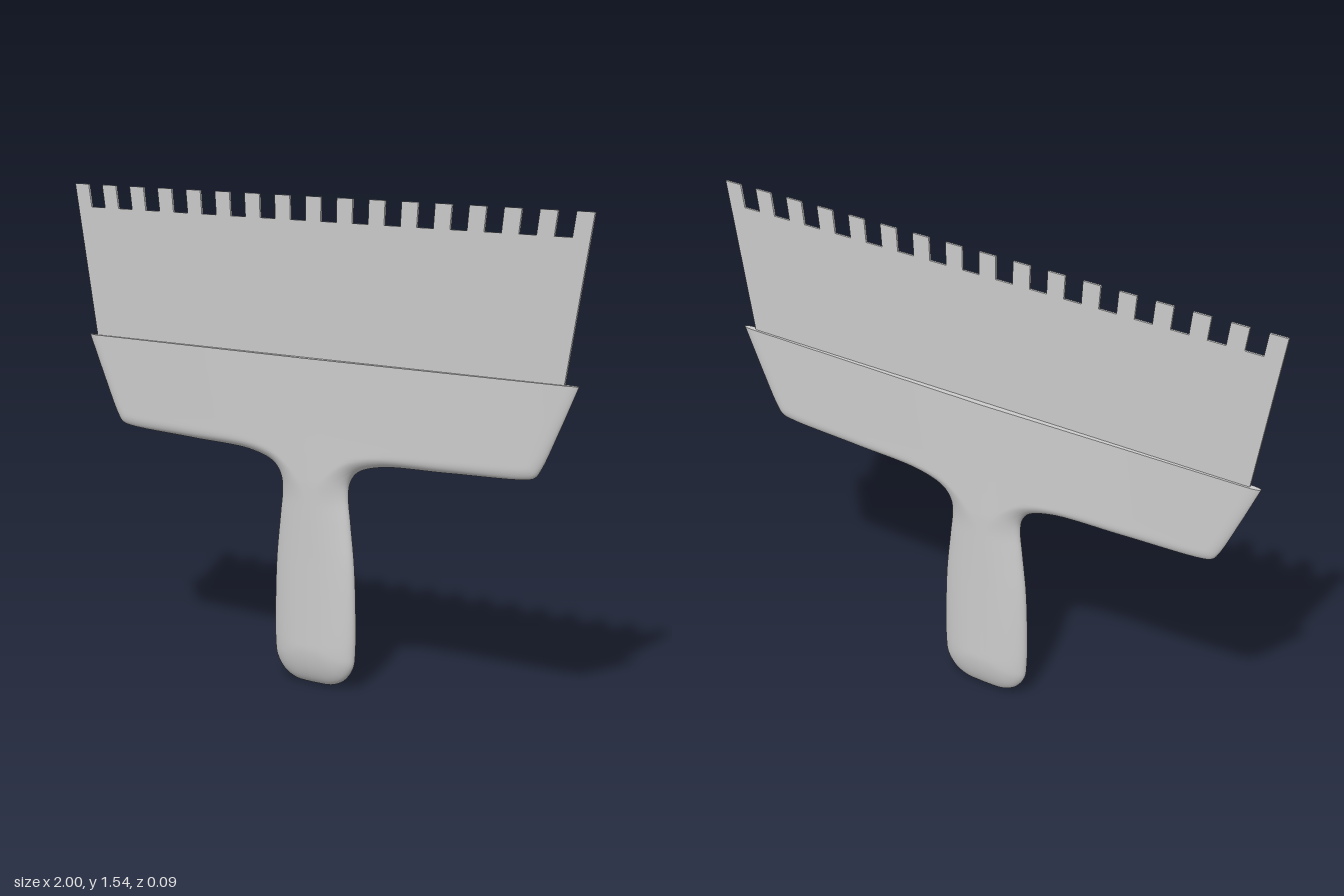
import * as THREE from 'three';

const material = new THREE.MeshStandardMaterial({ color: 0xcccccc });
const { lerp, smoothstep, clamp } = THREE.MathUtils;

// Right half of the grip-and-head silhouette, from the butt up to the head's top corner
const OUTLINE = [
  [0, 0], [0.07, 0.004], [0.115, 0.025], [0.148, 0.07], [0.155, 0.12], [0.156, 0.25],
  [0.15, 0.4], [0.136, 0.53], [0.127, 0.62], [0.133, 0.66], [0.16, 0.695], [0.25, 0.724],
  [0.5, 0.736], [0.77, 0.748], [0.808, 0.757], [0.83, 0.785], [0.89, 0.906], [0.952, 1.04],
];
// Half thickness on the centre line as [y, depth]
const DEPTH = [[0, 0.044], [0.12, 0.047], [0.4, 0.041], [0.65, 0.037], [0.8, 0.031], [1.04, 0.023]];

function depthAt(y) {
  for (let i = 1; i < DEPTH.length; i++) {
    const [y0, d0] = DEPTH[i - 1], [y1, d1] = DEPTH[i];
    if (y <= y1) return lerp(d0, d1, clamp((y - y0) / (y1 - y0), 0, 1));
  }
  return DEPTH[DEPTH.length - 1][1];
}

// Shortest distance from a point to the silhouette
function edgeDistance(x, y, edge) {
  let best = Infinity;
  for (let i = 1; i < edge.length; i++) {
    const a = edge[i - 1], b = edge[i];
    const dx = b.x - a.x, dy = b.y - a.y;
    const t = clamp(((x - a.x) * dx + (y - a.y) * dy) / (dx * dx + dy * dy), 0, 1);
    best = Math.min(best, Math.hypot(x - a.x - t * dx, y - a.y - t * dy));
  }
  return best;
}

// Grip and head in one smooth body: rows up the silhouette, thickness rounded off at its edge
function bodyGeometry() {
  const curve = new THREE.CatmullRomCurve3(OUTLINE.map(([x, y]) => new THREE.Vector3(x, y, 0)));
  curve.arcLengthDivisions = 800;
  const edge = curve.getSpacedPoints(160);
  const columns = 72, ring = columns * 2;
  const positions = [], index = [];

  edge.forEach(({ x: w, y }) => {
    const radius = lerp(0.12, 0.035, smoothstep(y, 0.58, 0.76));
    for (let i = 0; i < ring; i++) {
      const angle = (i / ring) * Math.PI * 2;
      const x = w * Math.cos(angle);
      const rim = i % columns === 0;
      const t = rim ? 0 : Math.min(edgeDistance(Math.abs(x), y, edge) / radius, 1);
      const round = Math.sqrt(1 - (1 - t) ** 2);
      const z = depthAt(y) * (1 - 0.6 * Math.abs(x)) * round;
      positions.push(x, y, i < columns ? z : -z);
    }
  });
  for (let r = 0; r < edge.length - 1; r++) {
    for (let i = 0; i < ring; i++) {
      const a = r * ring + i, b = r * ring + ((i + 1) % ring);
      index.push(a, a + ring, b, b, a + ring, b + ring);
    }
  }
  // Flat top with its own vertices, for a sharp edge
  const topRow = (edge.length - 1) * ring * 3;
  const topStart = positions.length / 3;
  positions.push(...positions.slice(topRow, topRow + ring * 3));
  const centre = positions.length / 3;
  positions.push(0, edge[edge.length - 1].y, 0);
  for (let i = 0; i < ring; i++) index.push(centre, topStart + ((i + 1) % ring), topStart + i);

  const geometry = new THREE.BufferGeometry();
  geometry.setAttribute('position', new THREE.Float32BufferAttribute(positions, 3));
  geometry.setIndex(index);
  geometry.computeVertexNormals();
  return geometry;
}

// Flared thin blade with square notches that fan out with its sides
function bladeGeometry() {
  const top = 1.54, root = 1.465, base = 0.95, thickness = 0.007;
  const teeth = 17, toothWidth = 0.06, pitch = (2 - toothWidth) / (teeth - 1);
  const point = (x, y) => new THREE.Vector2(x * (1 - 0.18 * (top - y)), y);
  const points = [point(-1, base)];
  for (let i = 0; i < teeth; i++) {
    const left = -1 + i * pitch, right = left + toothWidth;
    if (i > 0) points.push(point(left, root));
    points.push(point(left, top), point(right, top));
    if (i < teeth - 1) points.push(point(right, root));
  }
  points.push(point(1, base));
  const geometry = new THREE.ExtrudeGeometry(new THREE.Shape(points), {
    depth: thickness, bevelEnabled: false,
  });
  return geometry.translate(0, 0, -thickness / 2);
}

export function createModel() {
  const group = new THREE.Group();
  group.name = 'notchedSpreader';

  const body = new THREE.Mesh(bodyGeometry(), material);
  body.name = 'handleAndHead';
  body.position.x = 0.006;

  const blade = new THREE.Mesh(bladeGeometry(), material);
  blade.name = 'notchedBlade';

  group.add(body, blade);
  return group;
}
